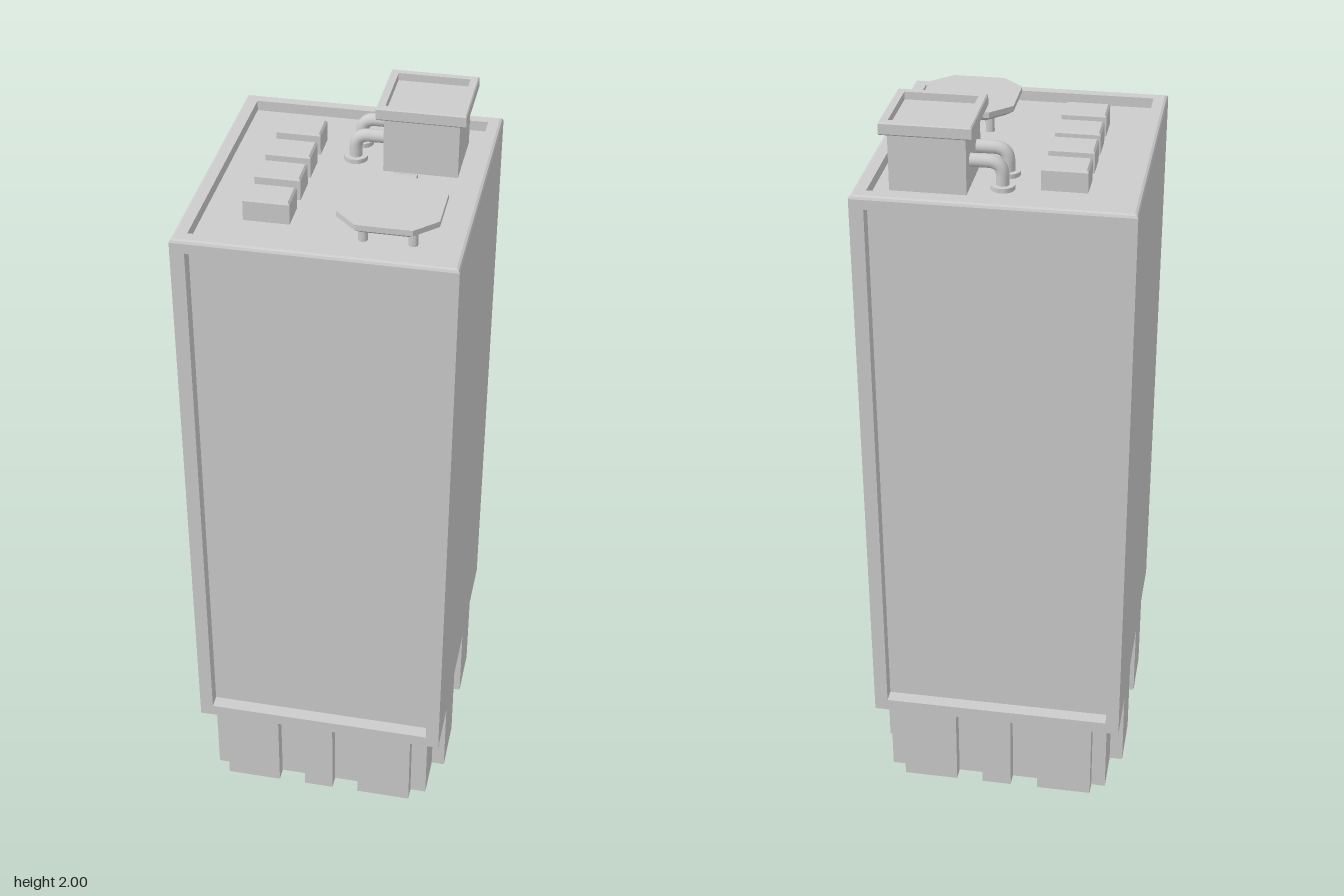
import * as THREE from 'three';
import { toCreasedNormals } from 'three/addons/utils/BufferGeometryUtils.js';

const material = new THREE.MeshStandardMaterial({ color: 0xcccccc });

// Half sizes of the block, width of its frame, and key heights
const HX = 0.352, HZ = 0.393, FRAME = 0.037;
const FOOT = 0.235, SILL = 0.27, RIM = 1.81, ROOF = 1.817, TOP = 1.845;

function add(parent, name, geometry, x = 0, y = 0, z = 0) {
  const mesh = new THREE.Mesh(geometry, material);
  mesh.name = name;
  mesh.position.set(x, y, z);
  parent.add(mesh);
  return mesh;
}

// Box given by its lower and upper limits
function addBox(parent, name, x0, x1, y0, y1, z0, z1) {
  return add(parent, name, new THREE.BoxGeometry(x1 - x0, y1 - y0, z1 - z0),
    (x0 + x1) / 2, (y0 + y1) / 2, (z0 + z1) / 2);
}

// Rectangular lathe: profile of [inset from the outer wall, y]; null inset = centre axis
function rectLathe(hx, hz, profile) {
  const points = profile.map(([inset, y]) =>
    new THREE.Vector2(inset === null ? 0 : (hx - inset) * Math.SQRT2, y));
  const geometry = new THREE.LatheGeometry(points, 4, Math.PI / 4).toNonIndexed();
  const p = geometry.attributes.position;
  for (let i = 0; i < p.count; i++) {
    if (Math.abs(p.getZ(i)) > 1e-6) p.setZ(i, p.getZ(i) + Math.sign(p.getZ(i)) * (hz - hx));
  }
  geometry.computeVertexNormals();
  return geometry;
}

function buildBase(group) {
  const base = new THREE.Group();
  base.name = 'base';
  group.add(base);
  const cx = HX - FRAME, cz = HZ - FRAME;
  addBox(base, 'baseCore', -cx, cx, 0, FOOT, -cz, cz);
  // Piers flush with the walls above
  for (const s of [-1, 1]) {
    const zs = [s * cz, s * HZ].sort((a, b) => a - b);
    const xs = [s * cx, s * HX].sort((a, b) => a - b);
    for (const [a, b] of [[-0.275, -0.12], [-0.043, 0.041], [0.116, 0.27]])
      addBox(base, 'endPier', a, b, 0, FOOT, ...zs);
    for (const [a, b] of [[-0.235, -0.082], [0.085, 0.238]])
      addBox(base, 'sidePier', ...xs, 0, FOOT, a, b);
  }
}

function buildTower(group) {
  const cx = HX - FRAME, cz = HZ - FRAME;
  addBox(group, 'recessedPanelsAndRoof', -cx, cx, FOOT, ROOF, -cz, cz);
  addBox(group, 'leftWall', cx, HX, FOOT, RIM, -HZ, HZ);
  addBox(group, 'rightWall', -HX, -cx, FOOT, RIM, -HZ, HZ);
  addBox(group, 'frontSill', -cx, cx, FOOT, SILL, cz, HZ);
  addBox(group, 'backSill', -cx, cx, FOOT, SILL, -HZ, -cz);
  // Parapet with softened outer edges
  add(group, 'roofRim', rectLathe(HX, HZ, [
    [FRAME, RIM], [0, RIM], [0, TOP - 0.009], [0.003, TOP - 0.003], [0.009, TOP],
    [FRAME, TOP], [FRAME, RIM],
  ]));
}

function buildRoofBoxes(group) {
  for (const z of [-0.184, -0.061, 0.057, 0.18]) {
    add(group, 'roofBox', rectLathe(0.059, 0.042, [
      [0, ROOF], [0, 1.87], [0.005, 1.876], [null, 1.876],
    ]), -0.153, 0, z);
  }
}

function buildVent(group) {
  const vent = new THREE.Group();
  vent.name = 'ventHousing';
  group.add(vent);
  // Shaft, overhanging cap and sunken opening in one profile
  add(vent, 'ventShaft', rectLathe(0.115, 0.115, [
    [0.018, ROOF], [0.018, 1.968], [0.002, 1.968], [0, 1.971], [0, 1.997], [0.003, 2],
    [0.021, 2], [0.021, 1.98], [null, 1.98],
  ]), 0.178, 0, -0.188);
  // Two elbow pipes from the shaft into the roof
  for (const z of [-0.23, -0.142]) {
    const path = new THREE.CurvePath();
    const v = (x, y) => new THREE.Vector3(x, y, z);
    path.add(new THREE.LineCurve3(v(0, ROOF), v(0, 1.852)));
    path.add(new THREE.QuadraticBezierCurve3(v(0, 1.852), v(0, 1.888), v(0.036, 1.888)));
    path.add(new THREE.LineCurve3(v(0.036, 1.888), v(0.09, 1.888)));
    add(vent, 'elbowPipe', new THREE.TubeGeometry(path, 24, 0.017, 16));
    add(vent, 'pipeFlange',
      toCreasedNormals(new THREE.CylinderGeometry(0.031, 0.031, 0.012, 24), 0.6), 0, ROOF + 0.006, z);
  }
}

function buildTank(group) {
  const tank = new THREE.Group();
  tank.name = 'octagonalUnit';
  tank.position.set(0.157, 0, 0.192);
  group.add(tank);
  // Octagonal plate with a tapered underside
  const h = 0.126, c = 0.07;
  const plate = new THREE.CylinderGeometry(1, 0.8, 1, 8, 2).toNonIndexed();
  const p = plate.attributes.position;
  for (let i = 0; i < p.count; i++) {
    const x = p.getX(i), z = p.getZ(i), r = Math.hypot(x, z);
    const level = Math.round(p.getY(i) * 2);
    const y = [1.862, 1.878, 1.893][level + 1];
    if (r < 1e-6) { p.setXYZ(i, 0, y, 0); continue; }
    const k = level < 0 ? 0.82 : 1;
    // Eight corners: the long leg lies on whichever axis is dominant
    const corner = Math.round(Math.atan2(x, z) / (Math.PI / 4) + 8) % 8;
    const [px, pz] = [[c, h], [h, c], [h, -c], [c, -h], [-c, -h], [-h, -c], [-h, c], [-c, h]][corner];
    p.setXYZ(i, px * k, y, pz * k);
  }
  plate.computeVertexNormals();
  add(tank, 'octagonalPlate', plate);
  for (const x of [-0.062, 0.062]) for (const z of [-0.062, 0.062])
    add(tank, 'supportLeg',
      toCreasedNormals(new THREE.CylinderGeometry(0.012, 0.012, 0.052, 12), 0.6), x, ROOF + 0.026, z);

  // Flat duct running out from under the plate and down into the roof
  const duct = new THREE.Shape();
  duct.moveTo(-0.09, 1.876);
  duct.lineTo(0.145 - 0.126 + 0.145, 1.876);
  duct.quadraticCurveTo(0.189, 1.876, 0.189, 1.856);
  duct.lineTo(0.189, ROOF);
  duct.lineTo(0.168, ROOF);
  duct.lineTo(0.168, 1.848);
  duct.lineTo(0.158, 1.855);
  duct.lineTo(-0.09, 1.855);
  const geometry = new THREE.ExtrudeGeometry(duct, { depth: 0.06, bevelEnabled: false, curveSegments: 5 });
  geometry.translate(0, 0, -0.03).rotateY(Math.PI / 2);
  add(tank, 'flatDuct', toCreasedNormals(geometry, 0.5));
}

export function createModel() {
  const group = new THREE.Group();
  group.name = 'towerBlock';
  buildBase(group);
  buildTower(group);
  buildRoofBoxes(group);
  buildVent(group);
  buildTank(group);
  return group;
}
